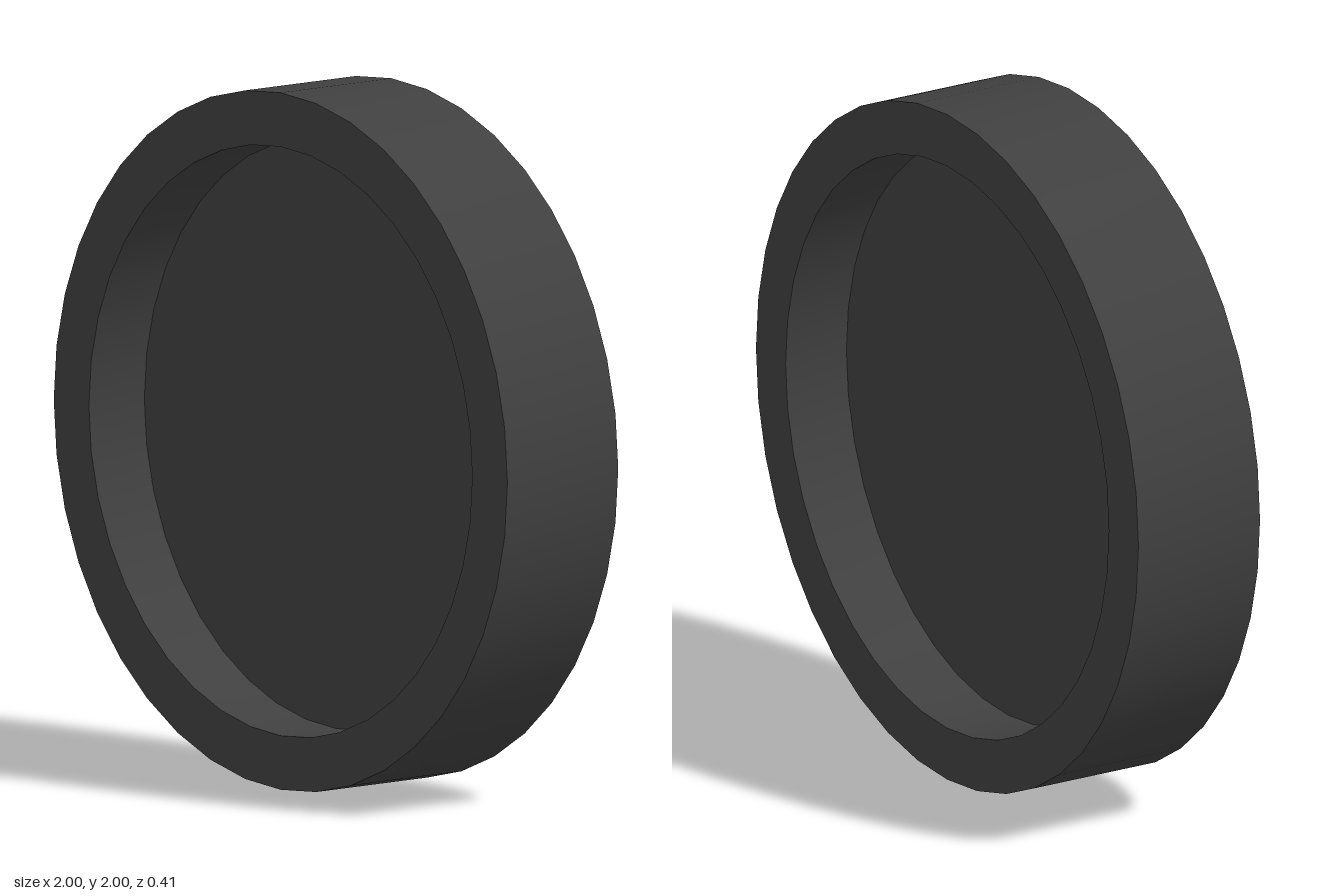
import * as THREE from 'three';
import { toCreasedNormals } from 'three/addons/utils/BufferGeometryUtils.js';

const SEGMENTS = 40;
const OUTER = 1;
const INNER = 0.845;
const HALF_DEPTH = 0.205;

export function createModel() {
  const group = new THREE.Group();
  const material = new THREE.MeshStandardMaterial({ color: 0x404040 });

  // Ring with a rectangular section, turned to face +z
  const section = [
    [INNER, -HALF_DEPTH], [OUTER, -HALF_DEPTH], [OUTER, HALF_DEPTH],
    [INNER, HALF_DEPTH], [INNER, -HALF_DEPTH],
  ].map(([r, y]) => new THREE.Vector2(r, y));
  const ring = toCreasedNormals(new THREE.LatheGeometry(section, SEGMENTS), Math.PI / 6);
  ring.rotateX(Math.PI / 2);
  const rim = new THREE.Mesh(ring, material);
  rim.name = 'rim';

  // Thin panel in the middle of the ring, recessed on both sides
  const panelMaterial = material.clone();
  panelMaterial.side = THREE.DoubleSide;
  const panel = new THREE.Mesh(new THREE.CircleGeometry(INNER, SEGMENTS), panelMaterial);
  panel.name = 'panel';

  group.add(rim, panel);
  for (const part of group.children) part.position.y = OUTER;
  return group;
}
